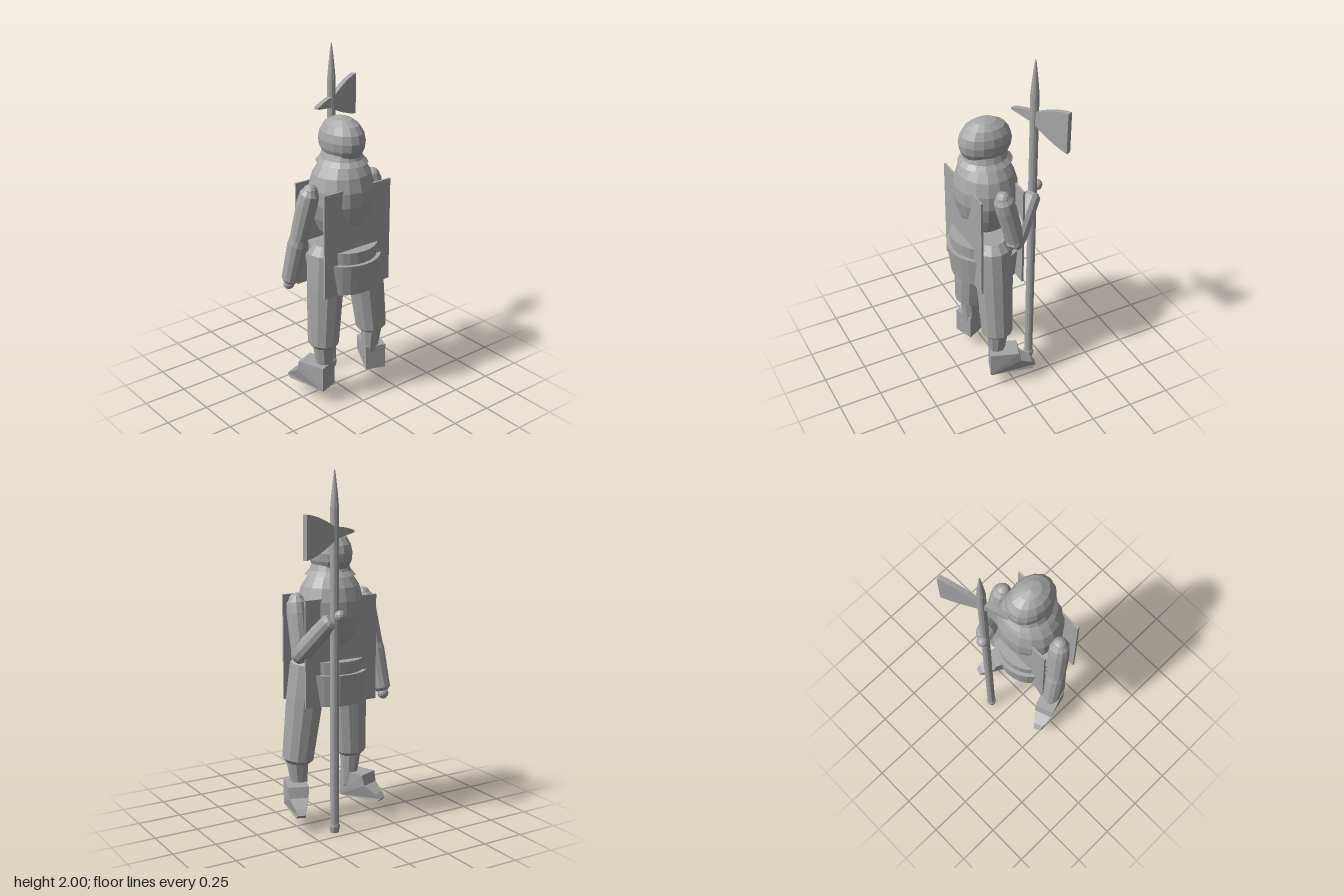
import * as THREE from 'three';

export function createModel() {
  const model = new THREE.Group();
  const grey = new THREE.MeshStandardMaterial({ color: 0xa6a6a6, flatShading: true, side: THREE.DoubleSide });
  grey.name = 'plain grey';
  const UP = new THREE.Vector3(0, 1, 0);

  function add(name, geometry, x = 0, y = 0, z = 0) {
    const mesh = new THREE.Mesh(geometry, grey);
    mesh.name = name;
    mesh.position.set(x, y, z);
    model.add(mesh);
    return mesh;
  }

  const lathe = (profile, sides) =>
    new THREE.LatheGeometry(profile.map(([r, y]) => new THREE.Vector2(r, y)), sides);

  // Turned limb running from a to b; profile is [radius, fraction of length]
  function limb(name, a, b, profile, sides = 12) {
    const from = new THREE.Vector3(...a);
    const axis = new THREE.Vector3(...b).sub(from);
    const length = axis.length();
    const mesh = add(name, lathe(profile.map(([r, t]) => [r, t * length]), sides), ...a);
    mesh.quaternion.setFromUnitVectors(UP, axis.normalize());
    return mesh;
  }

  // Helmet, neck guard and torso: oval turned shapes, profile as [fraction, height]
  function oval(name, profile, rx, rz, sides = 16) {
    add(name, lathe(profile, sides), -0.005, 0, 0.052).scale.set(rx, 1, rz);
  }
  oval('helmet', [[0, 1.455], [0.8, 1.455], [0.96, 1.495], [1, 1.54], [0.93, 1.585],
    [0.74, 1.625], [0.42, 1.652], [0, 1.665]], 0.112, 0.15);
  oval('neckGuard', [[1, 1.415], [0.83, 1.44], [0.74, 1.475]], 0.138, 0.152);
  oval('neck', [[1, 1.38], [1, 1.47]], 0.08, 0.1);
  oval('torso', [[0, 0.965], [0.34, 0.975], [0.7, 1.03], [0.88, 1.11], [1, 1.2], [0.99, 1.28],
    [0.87, 1.355], [0.66, 1.415], [0.3, 1.44], [0, 1.445]], 0.19, 0.176);

  // Tabard panels in front and behind
  for (const [name, z] of [['rearTabard', 0.186], ['frontTabard', -0.064]]) {
    add(name, new THREE.BoxGeometry(0.455, 0.6, 0.012), -0.004, 1.0, z);
  }

  // Waist band and flared skirt
  add('waistBand', new THREE.CylinderGeometry(0.192, 0.188, 0.09, 28), -0.005, 0.905, 0.062);
  add('skirt', new THREE.CylinderGeometry(0.212, 0.19, 0.18, 28), -0.005, 0.79, 0.062);

  // Boot side outline, extruded across its width and narrowed at the toe
  const bootShape = new THREE.Shape([[0, 0.09], [0.25, 0.09], [0.27, 0.11], [0.245, 0.14],
    [0.18, 0.18], [0.165, 0.24], [0, 0.24]].map(([u, y]) => new THREE.Vector2(u, y)));
  const bootGeometry = new THREE.ExtrudeGeometry(bootShape, { depth: 0.12, bevelEnabled: false });
  bootGeometry.translate(0, 0, -0.06);
  const bp = bootGeometry.attributes.position;
  for (let i = 0; i < bp.count; i++) {
    const toe = THREE.MathUtils.clamp((bp.getX(i) - 0.165) / 0.105, 0, 1);
    bp.setZ(i, bp.getZ(i) * (1 - 0.65 * toe));
  }
  bootGeometry.computeVertexNormals();

  // Legs
  const legs = [
    { side: 'left', hip: [0.118, 0.965, 0.072], knee: [0.196, 0.345, 0.082], ankle: [0.18, 0.135, 0.08], heel: [0.193, 0.129], turn: 70 },
    { side: 'right', hip: [-0.125, 0.965, 0.072], knee: [-0.16, 0.345, 0.082], ankle: [-0.147, 0.135, 0.08], heel: [-0.158, 0.129], turn: 110 },
  ];
  for (const { side, hip, knee, ankle, heel, turn } of legs) {
    limb(side + 'Thigh', knee, hip, [[0, 0], [0.062, 0], [0.089, 0.04], [0.104, 0.6], [0.104, 0.92], [0.07, 1], [0, 1]]);
    limb(side + 'Shin', ankle, [knee[0], knee[1] + 0.04, knee[2]],
      [[0, 0], [0.03, 0.02], [0.04, 0.09], [0.062, 0.85], [0.062, 1]], 10);
    add(side + 'Boot', bootGeometry, heel[0], 0, heel[1]).rotation.y = THREE.MathUtils.degToRad(turn);
  }

  // Arms: one hangs, the other is bent to grip the pole
  const arms = [
    { side: 'right', shoulder: [-0.222, 1.285, 0.055], elbow: [-0.262, 1.0, 0.0], wrist: [-0.287, 0.735, -0.055], hand: [-0.288, 0.72, -0.062] },
    { side: 'left', shoulder: [0.21, 1.285, 0.055], elbow: [0.222, 1.0, -0.015], wrist: [0.122, 1.205, -0.175], hand: [0.093, 1.228, -0.213] },
  ];
  for (const { side, shoulder, elbow, wrist, hand } of arms) {
    add(side + 'Shoulder', new THREE.SphereGeometry(0.042, 12, 8), ...shoulder);
    limb(side + 'UpperArm', elbow, shoulder, [[0, -0.1], [0.04, -0.09], [0.052, 0], [0.059, 0.75], [0.055, 0.95], [0.035, 1.06], [0, 1.07]]);
    limb(side + 'Forearm', elbow, wrist, [[0, -0.17], [0.035, -0.16], [0.05, -0.07], [0.057, 0.1], [0.05, 0.93], [0.034, 1], [0, 1]]);
    add(side + 'Hand', new THREE.SphereGeometry(0.032, 12, 8), ...hand);
  }

  // Pole weapon: butt cap, shaft, spike
  const px = 0.107, pz = -0.18;
  add('poleButt', lathe([[0, 0], [0.025, 0], [0.031, 0.035], [0.028, 0.048], [0, 0.048]], 10), px, 0, pz);
  add('poleShaft', new THREE.CylinderGeometry(0.024, 0.024, 1.76, 12), px, 0.92, pz);
  add('poleSpike', lathe([[0.024, 1.8], [0.017, 1.88], [0.004, 1.99], [0, 2]], 10), px, 0, pz);

  // Axe blade with a beak on the opposite side
  const blade = new THREE.Shape();
  blade.moveTo(-0.15, 1.66);
  blade.lineTo(-0.02, 1.64);
  blade.lineTo(0.02, 1.625);
  blade.quadraticCurveTo(0.14, 1.56, 0.237, 1.545);
  blade.lineTo(0.237, 1.78);
  blade.quadraticCurveTo(0.14, 1.77, 0.02, 1.705);
  blade.lineTo(-0.02, 1.7);
  blade.quadraticCurveTo(-0.09, 1.692, -0.15, 1.672);
  const bladeGeometry = new THREE.ExtrudeGeometry(blade, { depth: 0.028, bevelEnabled: false, curveSegments: 6 });
  bladeGeometry.translate(0, 0, -0.014);
  add('axeBlade', bladeGeometry, px, 0, pz).rotation.y = 0.34;

  return model;
}
